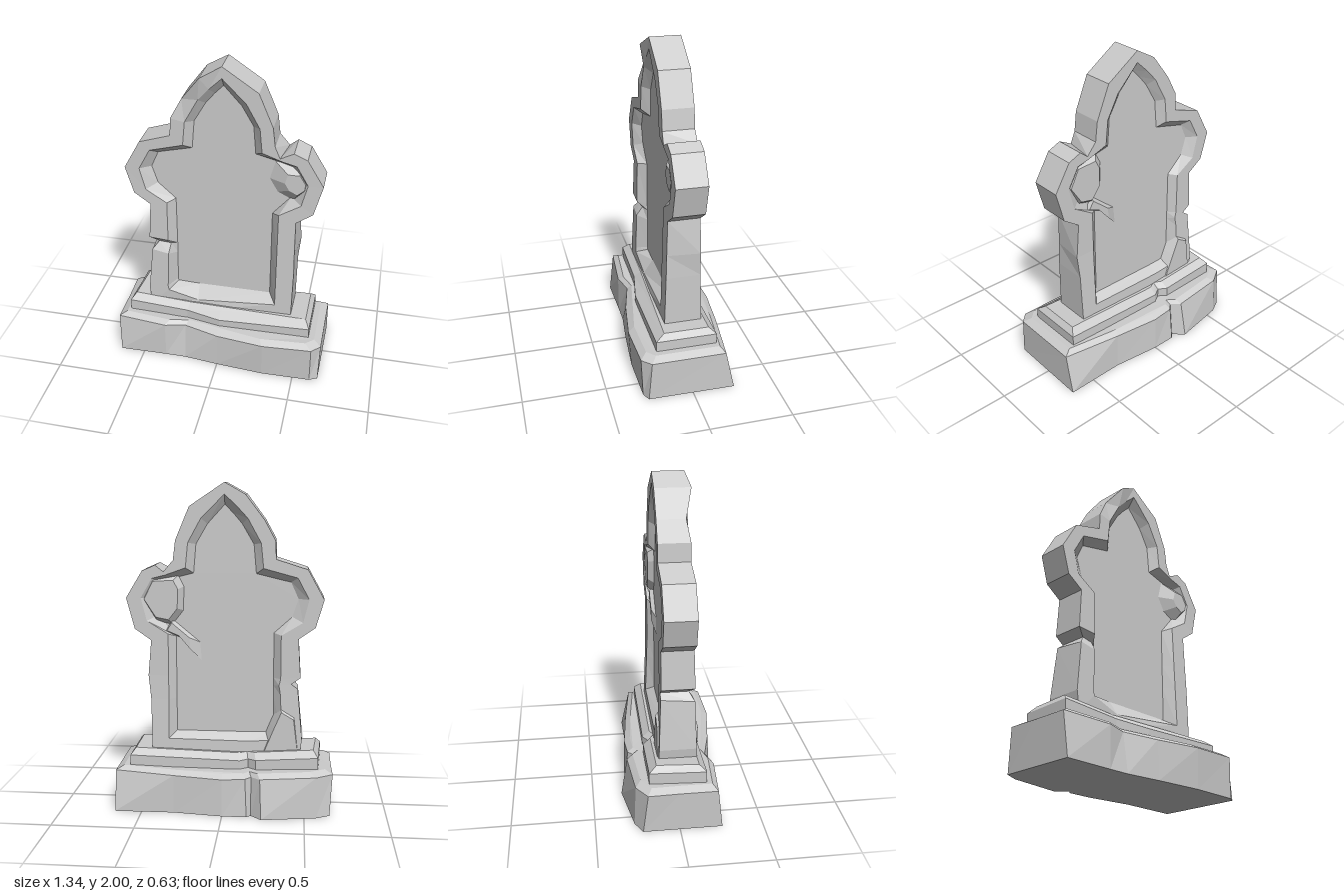
import * as THREE from 'three';

const material = new THREE.MeshStandardMaterial({ color: 0xcccccc, flatShading: true });
const pairs = (a) => Array.from({ length: a.length / 2 }, (_, i) => [a[2 * i], a[2 * i + 1]]);

// Joins equal-length rings of [u, v, w], counter-clockwise seen from +w, and caps both ends.
// toWorld turns (u, v, w) into a world position without mirroring.
function loft(name, rings, toWorld = (p) => p) {
  const out = [];
  const tri = (a, b, c) => out.push(...toWorld(a), ...toWorld(b), ...toWorld(c));
  const n = rings[0].length;
  for (let k = 0; k < rings.length - 1; k++) {
    for (let i = 0; i < n; i++) {
      const j = (i + 1) % n;
      const a = rings[k][i], b = rings[k][j], c = rings[k + 1][j], d = rings[k + 1][i];
      tri(a, b, c);
      tri(a, c, d);
    }
  }
  const cap = (ring, up) => {
    const pts = ring.map((p) => new THREE.Vector2(p[0], p[1]));
    for (const [i, j, k] of THREE.ShapeUtils.triangulateShape(pts, [])) {
      const ccw = THREE.ShapeUtils.area([pts[i], pts[j], pts[k]]) > 0;
      if (ccw === up) tri(ring[i], ring[j], ring[k]);
      else tri(ring[i], ring[k], ring[j]);
    }
  };
  cap(rings[0], false);
  cap(rings[rings.length - 1], true);
  const geometry = new THREE.BufferGeometry();
  geometry.setAttribute('position', new THREE.Float32BufferAttribute(out, 3));
  geometry.computeVertexNormals();
  const mesh = new THREE.Mesh(geometry, material);
  mesh.name = name;
  return mesh;
}

const upright = ([u, v, w]) => [u, w, -v];

// Worn stone course: vertical sides, then a chamfer up to a smaller top
function course(name, lower, upper, y0, sag, rise, sx, sz) {
  const at = (pts, y) => pts.map(([x, z]) => [x, -z, y(x)]);
  return loft(name, [
    at(lower, () => y0),
    at(upper, sag),
    upper.map(([x, z]) => [x * sx, -z * sz, sag(x) + rise]),
  ], upright);
}

// Straight-line sag between left end, centre and right end
const sagLine = (left, mid, right, half) => (x) =>
  mid + Math.min(1, Math.abs(x) / half) * ((x < 0 ? left : right) - mid);

// Slab outlines, from the peak down the right side, along the foot and up the left side
const OUTER = pairs([
  0, 2, -.125, 1.93, -.24, 1.78, -.305, 1.66, -.31, 1.55, -.5, 1.49, -.6, 1.31, -.55, 1.14,
  -.45, 1.07, -.465, .83, -.41, .79, -.45, .76, -.48, .44, -.465, .33, -.16, .31, .45, .33,
  .455, .68, .47, .83, .45, 1.05, .55, 1.12, .6, 1.31, .5, 1.475, .42, 1.51, .37, 1.47,
  .31, 1.54, .295, 1.66, .21, 1.86,
]);
const RIM = pairs([
  0, 1.93, -.075, 1.86, -.14, 1.79, -.22, 1.645, -.235, 1.495, -.44, 1.44, -.51, 1.31, -.475, 1.17,
  -.345, 1.09, -.345, .82, -.335, .78, -.345, .72, -.355, .47, -.35, .44, -.16, .425, .345, .43,
  .345, .68, .345, .83, .345, 1.09, .475, 1.17, .51, 1.31, .44, 1.43, .4, 1.44, .36, 1.45,
  .235, 1.495, .22, 1.645, .14, 1.79,
]);
const PANEL = pairs([
  0, 1.87, -.05, 1.82, -.105, 1.755, -.175, 1.635, -.19, 1.46, -.4, 1.41, -.445, 1.31, -.41, 1.2,
  -.3, 1.1, -.3, .82, -.3, .77, -.3, .7, -.305, .49, -.3, .475, -.16, .47, .3, .47,
  .3, .68, .3, .83, .3, 1.07, .41, 1.2, .445, 1.31, .4, 1.4, .36, 1.415, .33, 1.425,
  .19, 1.46, .175, 1.635, .105, 1.755,
]);

function slab() {
  const frontZ = (y) => .1 + .022 * Math.max(0, (1.2 - y) / .8);
  const backZ = (y) => -.09 - .015 * Math.max(0, (.8 - y) / .4);
  const back = (pts) => pts.map(([x, y]) => [x, y, backZ(y)]);
  const front = (pts) => pts.map(([x, y]) => [x, y, frontZ(y)]);
  const outerFront = front(OUTER), rimFront = front(RIM);
  // Chips in the front edge
  outerFront[1][2] = .125;
  outerFront[2][2] = .08;
  outerFront[10][2] = .08;
  outerFront[11][1] = .74;
  outerFront[17][0] = .452;
  outerFront[23][0] = .34;
  rimFront[10][2] = .075;
  rimFront[14] = [-.16, .38, .11];
  return loft('slab', [
    PANEL.map(([x, y]) => [x, y, -.05]),
    back(RIM), back(OUTER), outerFront, rimFront,
    PANEL.map(([x, y]) => [x, y, .05]),
  ]);
}

// Tapering lump of leftover stone on a slab face, narrowing toward a point (cx, cy)
function lump(name, outline, z0, z1, cx, cy, shrink) {
  const wide = outline.map(([x, y]) => [x, y, z0]);
  const narrow = outline.map(([x, y]) => [cx + (x - cx) * shrink, cy + (y - cy) * shrink, z1]);
  return loft(name, z1 > z0 ? [wide, narrow] : [narrow, wide]);
}

export function createModel() {
  const model = new THREE.Group();
  model.name = 'gravestone';

  // Bottom block, bowed and split at the back
  const baseLower = pairs([
    -.655, .255, -.35, .25, -.22, .25, 0, .275, .3, .3, .61, .295, .66, .27, .665, -.255,
    .3, -.25, 0, -.285, -.15, -.285, -.175, -.26, -.24, -.32, -.57, -.265, -.655, -.22, -.655, 0,
  ]);
  const baseUpper = pairs([
    -.665, .225, -.35, .25, -.22, .215, 0, .27, .3, .315, .61, .305, .665, .25, .665, -.2,
    .3, -.25, 0, -.28, -.14, -.27, -.175, -.235, -.23, -.28, -.57, -.255, -.67, -.19, -.665, 0,
  ]);
  model.add(course('base', baseLower, baseUpper, 0, sagLine(.255, .232, .248, .6), .025, .93, .87));

  // Chamfered step under the slab
  const step = pairs([
    -.6, .165, -.22, .165, 0, .205, .58, .205, .58, -.165,
    -.1, -.17, -.15, -.14, -.2, -.175, -.58, -.175,
  ]);
  model.add(course('step', step, step, .2, sagLine(.35, .312, .335, .58), .037, .95, .74));

  model.add(slab());

  // Unfinished stone filling the lobe and foot
  model.add(lump('frontLobeChip',
    pairs([.3, 1.43, .267, 1.31, .32, 1.22, .42, 1.17, .5, 1.24, .51, 1.32, .44, 1.43]),
    .045, .098, .48, 1.31, .5));
  model.add(lump('backLobeFill',
    pairs([.28, 1.45, .245, 1.38, .25, 1.23, .32, 1.14, .42, 1.16, .51, 1.3, .44, 1.44]),
    -.045, -.088, .42, 1.31, .78));
  model.add(lump('backSpur',
    pairs([.32, 1.18, .14, 1.03, .13, .91, .25, 1.05, .37, 1.1]),
    -.045, -.075, .33, 1.12, .6));
  model.add(lump('backFootFill',
    pairs([-.34, .68, -.44, .62, -.475, .34, -.2, .34, -.28, .54]),
    -.045, -.112, -.39, .42, .75));

  return model;
}
